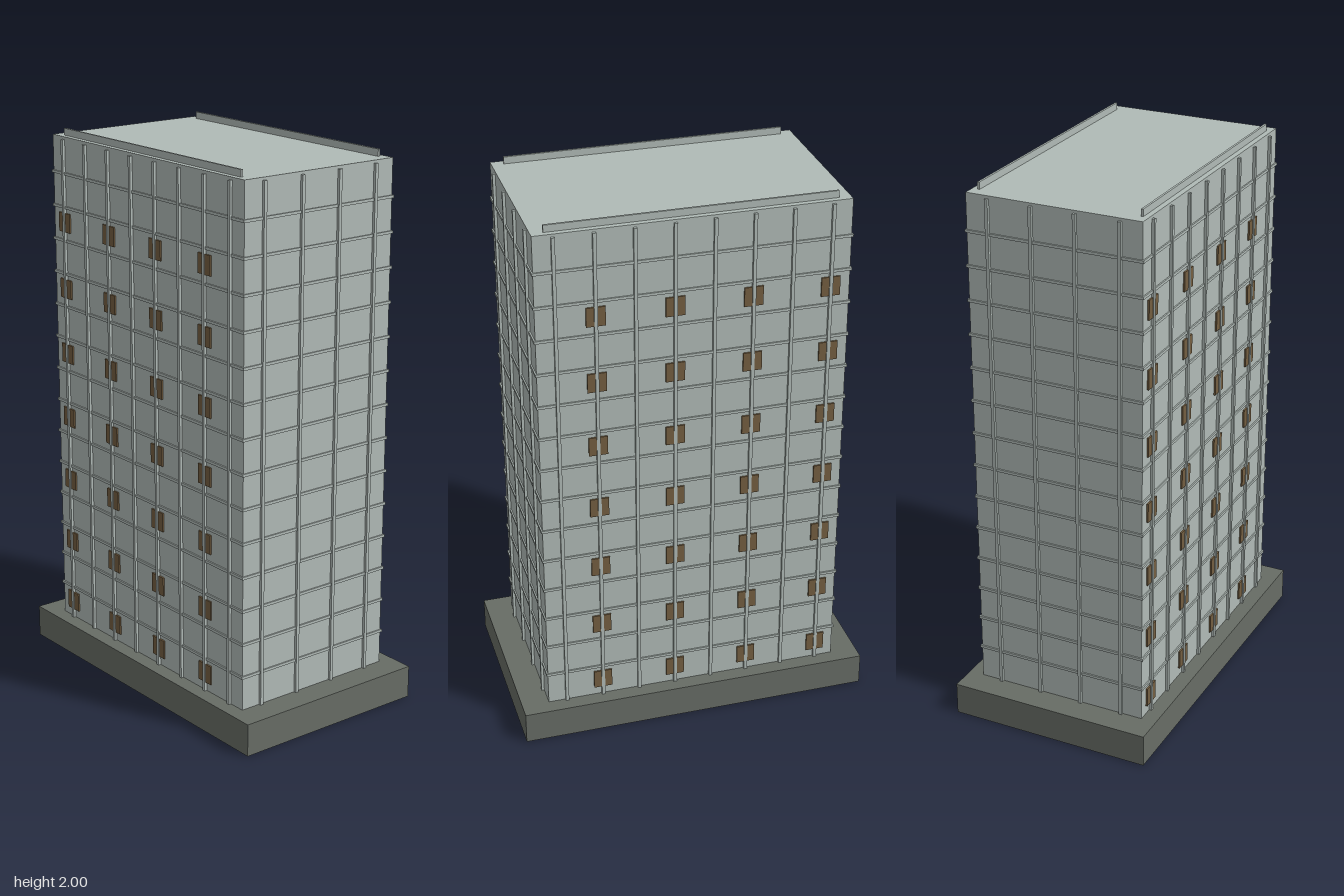
import * as THREE from 'three';

export function createModel() {
  const concrete = new THREE.MeshStandardMaterial({ color: 0xb0bab6 });
  concrete.name = 'paleConcrete';
  const stone = new THREE.MeshStandardMaterial({ color: 0x676c65 });
  stone.name = 'darkStone';
  const glass = new THREE.MeshStandardMaterial({ color: 0x735e41 });
  glass.name = 'bronzeWindow';

  const W = 1.092, D = 0.642;       // tower footprint
  const base = 0.12, roof = 1.975;  // plinth top and roof height
  const floors = 15, floorH = 0.123;
  const baysX = 8, baysZ = 4;

  const model = new THREE.Group();
  model.name = 'towerBlock';
  model.rotation.y = 0.0117;        // slight turn on the site

  function box(name, w, h, d, x, y, z, material) {
    const mesh = new THREE.Mesh(new THREE.BoxGeometry(w, h, d), material);
    mesh.name = name;
    mesh.position.set(x, y, z);
    model.add(mesh);
    return mesh;
  }

  // Plinth and main tower, whose underside lies just below the plinth's
  box('plinth', 1.29, base - 0.001, 0.753, 0, (base + 0.001) / 2, 0, stone);
  box('tower', W, roof, D, 0, roof / 2, 0, concrete);

  // Thin ledge around the tower at each floor
  for (let i = 1; i < floors; i++) {
    box('floorLedge', W + 0.01, 0.01, D + 0.01, 0, base + i * floorH, 0, concrete);
  }

  const finH = floors * floorH, finY = base + finH / 2;
  const finW = 0.012, finD = 0.01;
  for (const side of [-1, 1]) {
    // Fins and windows on the long faces
    for (let i = 0; i < baysX; i++) {
      const x = ((i + 0.5) / baysX - 0.5) * W;
      box('longSideFin', finW, finH, finD, x, finY, side * (D + finD) / 2, concrete);
      if (i % 2) continue;
      for (let f = 0; f < floors - 1; f += 2) {
        const y = base + (f + 0.55) * floorH;
        box('window', 0.067, 0.07, 0.006, x, y, side * (D / 2 + 0.003), glass);
      }
    }
    // Fins on the short faces
    for (let i = 0; i < baysZ; i++) {
      const z = ((i + 0.5) / baysZ - 0.5) * D;
      box('shortSideFin', finD, finH, finW, side * (W + finD) / 2, finY, z, concrete);
    }
    // Low parapet along each long roof edge
    box('parapet', 1.006, 0.025, 0.008, 0, roof + 0.0125, side * 0.297, concrete);
  }

  return model;
}
